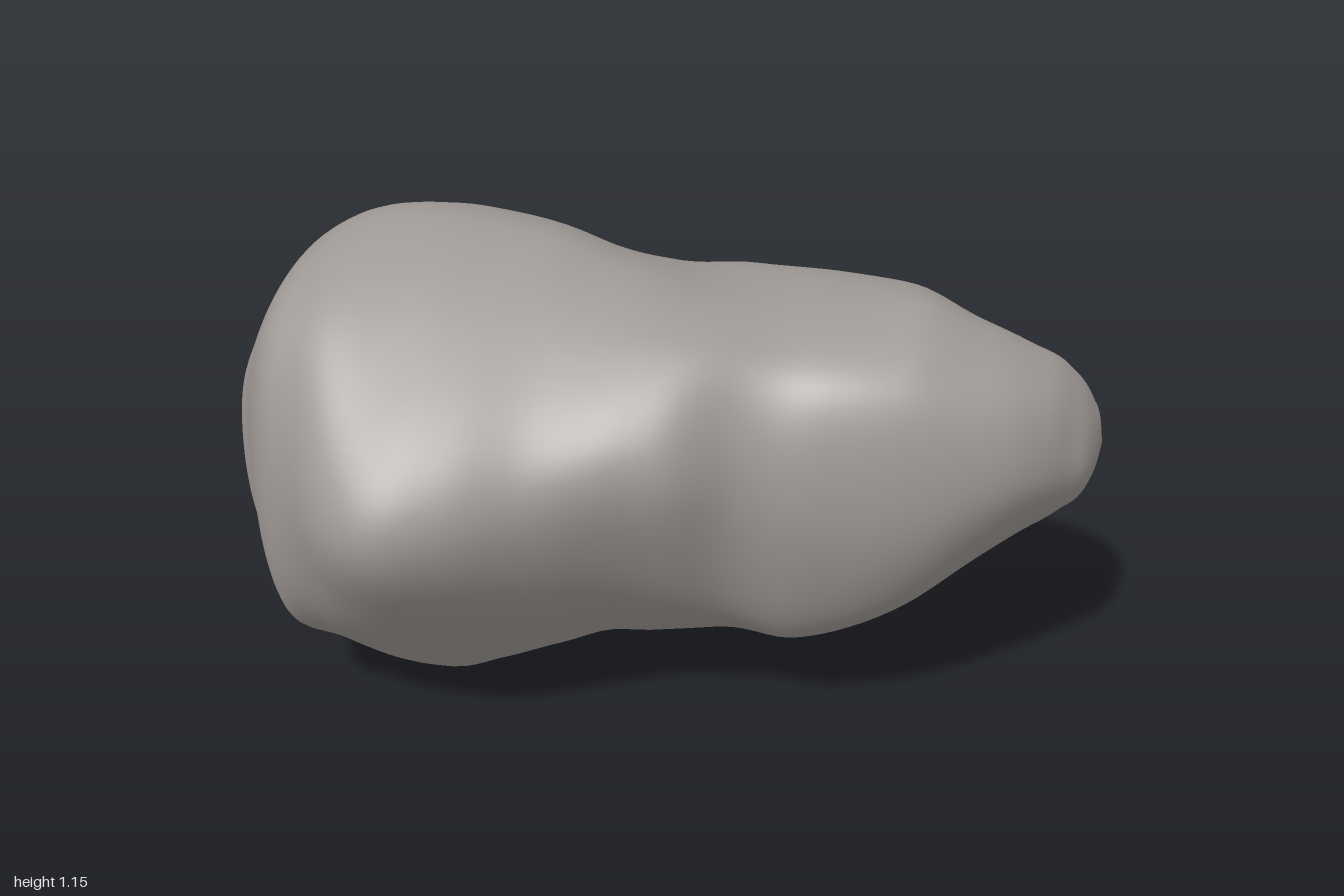
import * as THREE from 'three';

// Outline of the rock along its length: x, top y, bottom y, front z, back z
const OUTLINE = [
  [-1, 0.55, 0.55, -0.08, -0.08], [-0.99, 0.66, 0.44, 0, -0.18], [-0.965, 0.74, 0.36, 0.1, -0.28],
  [-0.9, 0.87, 0.24, 0.23, -0.4], [-0.8, 1.02, 0.12, 0.45, -0.51], [-0.7, 1.1, 0.05, 0.55, -0.57],
  [-0.6, 1.14, 0.01, 0.65, -0.605], [-0.47, 1.15, 0, 0.7, -0.655], [-0.34, 1.135, 0.04, 0.665, -0.7],
  [-0.2, 1.11, 0.09, 0.595, -0.63], [-0.1, 1.075, 0.112, 0.565, -0.54], [0, 1.048, 0.095, 0.54, -0.465],
  [0.1, 1.025, 0.1, 0.51, -0.43], [0.2, 1.017, 0.12, 0.435, -0.415], [0.4, 1.017, 0.165, 0.395, -0.385],
  [0.56, 1.02, 0.25, 0.37, -0.35], [0.7, 0.965, 0.335, 0.32, -0.33], [0.82, 0.905, 0.41, 0.25, -0.305],
  [0.91, 0.845, 0.48, 0.16, -0.24], [0.97, 0.76, 0.55, 0.07, -0.16], [0.99, 0.71, 0.6, 0, -0.1],
  [1, 0.65, 0.65, -0.05, -0.05],
];
// Where the ridges run: x, front ridge y, back ridge y, crest z, keel z
const RIDGES = [
  [-1, 0.55, 0.55, -0.08, -0.08], [-0.9, 0.58, 0.53, -0.06, -0.04], [-0.7, 0.65, 0.54, 0, 0.03],
  [-0.45, 0.68, 0.6, 0.04, 0.06], [-0.2, 0.71, 0.61, 0.04, 0.05], [0, 0.75, 0.6, 0.05, -0.02],
  [0.15, 0.72, 0.59, 0.06, -0.05], [0.35, 0.62, 0.59, 0.07, -0.04], [0.6, 0.63, 0.6, 0.06, -0.02],
  [0.85, 0.68, 0.61, 0, -0.06], [1, 0.65, 0.65, -0.05, -0.05],
];
// Fullness between ridges (0.5 flat, 0.7 round): x, front top, front bottom, back bottom, back top
const FULLNESS = [
  [-1, 0.72, 0.72, 0.72, 0.72], [-0.8, 0.77, 0.74, 0.72, 0.7], [-0.7, 0.71, 0.67, 0.67, 0.66],
  [-0.45, 0.6, 0.59, 0.6, 0.61], [-0.2, 0.61, 0.62, 0.65, 0.6], [0.02, 0.64, 0.7, 0.76, 0.68],
  [0.2, 0.69, 0.76, 0.76, 0.77], [0.5, 0.75, 0.74, 0.71, 0.78], [0.82, 0.73, 0.65, 0.65, 0.66],
  [1, 0.7, 0.7, 0.7, 0.7],
];

// Smooth interpolation of every column of a table at x
function sample(table, x) {
  const n = table.length;
  let i = 0;
  while (i < n - 2 && x > table[i + 1][0]) i++;
  const a = table[i], b = table[i + 1], p = table[Math.max(i - 1, 0)], q = table[Math.min(i + 2, n - 1)];
  const h = b[0] - a[0], t = (x - a[0]) / h, t2 = t * t, t3 = t2 * t;
  // Limited slope, so steep ends do not overshoot
  const slope = (l, m, r, k) => {
    if (l === m || m === r) return (r[k] - l[k]) / (r[0] - l[0]);
    const s = (m[k] - l[k]) / (m[0] - l[0]), u = (r[k] - m[k]) / (r[0] - m[0]);
    const w = (m[0] - l[0]) / (r[0] - l[0]), limit = 3 * Math.min(Math.abs(s), Math.abs(u));
    return s * u <= 0 ? 0 : Math.min(Math.max(u * w + s * (1 - w), -limit), limit);
  };
  return a.slice(1).map((v, j) => {
    const k = j + 1;
    return (2 * t3 - 3 * t2 + 1) * v + (t3 - 2 * t2 + t) * h * slope(p, a, b, k)
      + (3 * t2 - 2 * t3) * b[k] + (t3 - t2) * h * slope(a, b, q, k);
  });
}

// Closed cross-section: four ridge points and four shoulders between them
function crossSection(x, count) {
  const [top, bottom, front, back] = sample(OUTLINE, x);
  const [frontY, backY, crestZ, keelZ] = sample(RIDGES, x);
  const full = sample(FULLNESS, x);
  const within = THREE.MathUtils.clamp;
  const centre = new THREE.Vector3(x, (top + bottom) / 2, (front + back) / 2);
  const ridges = [
    new THREE.Vector3(x, top, within(crestZ, back, front)),
    new THREE.Vector3(x, within(frontY, bottom, top), front),
    new THREE.Vector3(x, bottom, within(keelZ, back, front)),
    new THREE.Vector3(x, within(backY, bottom, top), back),
  ];
  const ring = [];
  ridges.forEach((r, k) => {
    const next = ridges[(k + 1) % 4];
    const shoulder = centre.clone()
      .addScaledVector(r.clone().sub(centre), full[k])
      .addScaledVector(next.clone().sub(centre), full[k]);
    ring.push(r, shoulder);
  });
  const curve = new THREE.CatmullRomCurve3(ring, true, 'catmullrom', 0.5);
  return Array.from({ length: count }, (_, j) => {
    const v = curve.getPoint(j / count);
    // Gentle weathered unevenness
    const dent = 1 + 0.008 * Math.sin(9 * x + 7 * v.y) * Math.sin(8 * v.z + 5 * v.y + 1);
    return v.sub(centre).multiplyScalar(dent).add(centre);
  });
}

export function createModel() {
  const rings = 110, around = 96;
  const positions = [], index = [];
  for (let i = 0; i <= rings; i++) {
    const x = -Math.cos((Math.PI * i) / rings);
    for (const v of crossSection(x, around)) positions.push(v.x, v.y, v.z);
  }
  for (let i = 0; i < rings; i++) {
    for (let j = 0; j < around; j++) {
      const a = i * around + j, b = i * around + ((j + 1) % around);
      const c = a + around, d = b + around;
      index.push(a, b, c, b, d, c);
    }
  }
  const geometry = new THREE.BufferGeometry();
  geometry.setAttribute('position', new THREE.Float32BufferAttribute(positions, 3));
  geometry.setIndex(index);
  geometry.computeVertexNormals();

  const rock = new THREE.Mesh(geometry, new THREE.MeshStandardMaterial({ color: 0xa09a96 }));
  rock.name = 'rock';
  const group = new THREE.Group();
  group.name = 'boulder';
  group.add(rock);
  return group;
}
